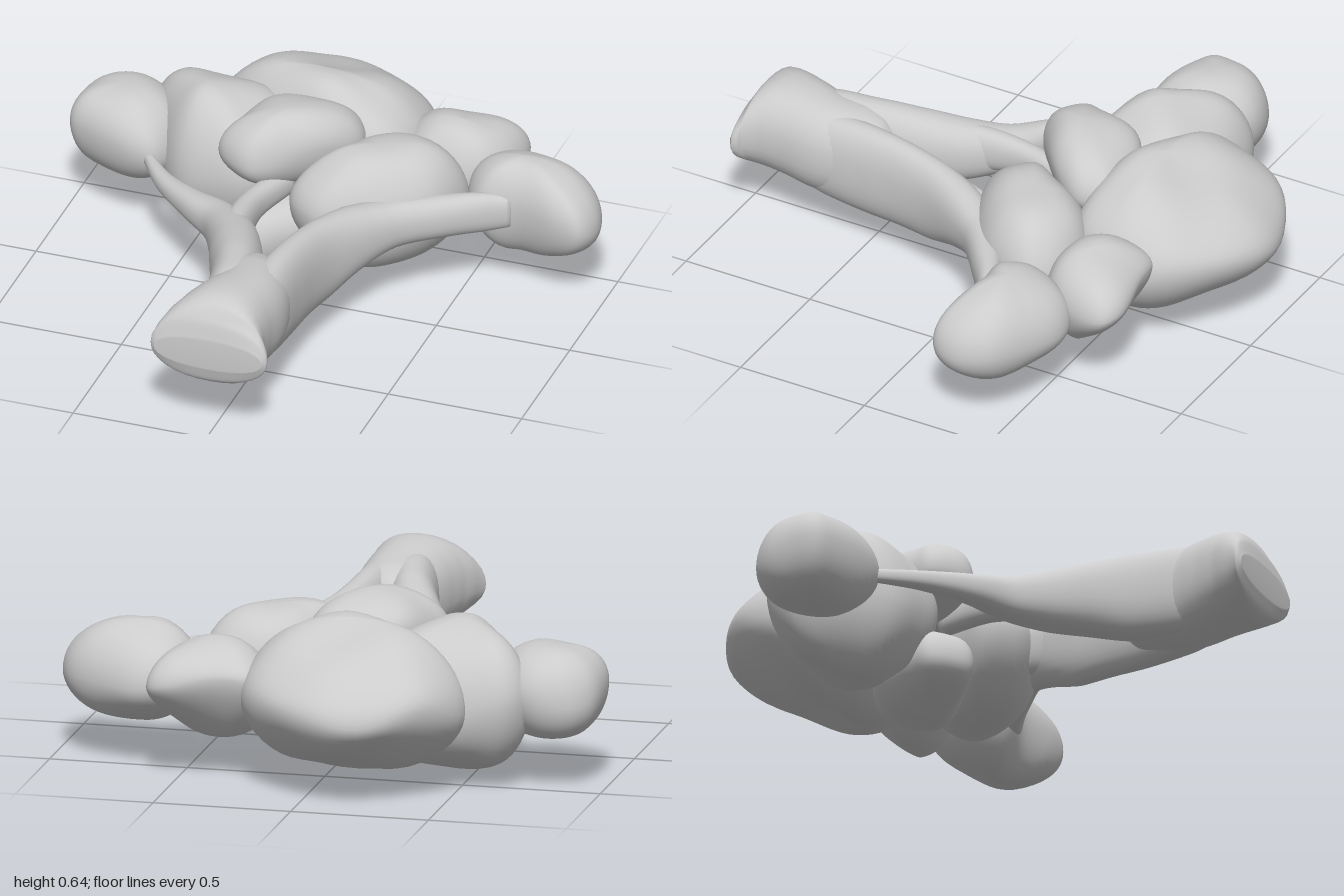
import * as THREE from 'three';

const material = new THREE.MeshStandardMaterial({ color: 0xcccccc });

// Skin a list of closed rings (equal point counts) with smooth normals
function loft(name, rings) {
  const n = rings[0].length, index = [];
  for (let i = 0; i < rings.length - 1; i++) {
    for (let j = 0; j < n; j++) {
      const a = i * n + j, b = i * n + (j + 1) % n, c = a + n, d = b + n;
      index.push(a, b, c, b, d, c);
    }
  }
  const geometry = new THREE.BufferGeometry().setFromPoints(rings.flat());
  geometry.setIndex(index);
  geometry.computeVertexNormals();
  const mesh = new THREE.Mesh(geometry, material);
  mesh.name = name;
  return mesh;
}

// Limb with an oval section; stations are [x, y, z, half width, half height]
function limb(name, stations) {
  const path = new THREE.CatmullRomCurve3(stations.map(s => new THREE.Vector3(s[0], s[1], s[2])));
  const size = new THREE.CatmullRomCurve3(stations.map(s => new THREE.Vector3(s[3], s[4], 0)));
  const up = new THREE.Vector3(0, 1, 0), rings = [], steps = stations.length * 6, sides = 32;
  const soft = v => Math.sign(v) * Math.abs(v) ** 0.88;
  for (let i = 0; i <= steps; i++) {
    const p = path.getPoint(i / steps), r = size.getPoint(i / steps);
    const side = path.getTangent(i / steps).cross(up).normalize();
    rings.push(Array.from({ length: sides }, (_, j) => {
      const a = j / sides * Math.PI * 2;
      return p.clone().addScaledVector(side, r.x * soft(Math.cos(a))).addScaledVector(up, -r.y * soft(Math.sin(a)));
    }));
  }
  // Ends close smoothly onto the centre line
  const tip = t => Array(sides).fill(path.getPoint(t));
  return loft(name, [tip(0), ...rings, tip(1)]);
}

// Leaf clump: a plan outline [x, z] shrinking towards a peak above and below.
// taper thins the whole rim, wedge thins the back, lean raises the back
function clump(name, low, high, peak, outline, seed, { taper = 0.85, wedge = 0, lean = 0 } = {}) {
  const curve = new THREE.CatmullRomCurve3(outline.map(([x, z]) => new THREE.Vector3(x, 0, z)), true);
  const edge = curve.getPoints(56).slice(0, 56), rings = [], rows = 28;
  const mid = (low + high) / 2, half = (high - low) / 2;
  for (let i = 0; i <= rows; i++) {
    const a = Math.PI * (0.5 - i / rows), s = Math.sin(a);
    const shrink = Math.max(0, Math.cos(a)) ** taper;
    const lift = Math.sign(s) * Math.abs(s) ** (taper + 0.1);
    rings.push(edge.map(e => {
      const x = peak[0] + (e.x - peak[0]) * shrink, z = peak[1] + (e.z - peak[1]) * shrink;
      const bump = 1 + 0.06 * Math.sin(14 * x + seed) * Math.cos(13 * z + seed * 2);
      const wave = 0.025 * (1 - Math.abs(s)) * Math.sin(9 * x - 10 * z + seed);
      const back = Math.max(0, peak[1] - z);
      return new THREE.Vector3(x, mid + half * lift * bump * (1 - wedge * back) + wave + lean * back, z);
    }));
  }
  return loft(name, rings);
}

export function createModel() {
  const model = new THREE.Group();
  model.name = 'tree';

  // Trunk and its forked limbs, lying along z
  model.add(
    limb('trunk', [
      [0, 0.345, 0.992, 0.2, 0.055], [0, 0.35, 0.975, 0.218, 0.115], [0, 0.365, 0.94, 0.2, 0.155],
      [0.005, 0.37, 0.88, 0.178, 0.173], [0.015, 0.365, 0.8, 0.163, 0.178], [0.03, 0.35, 0.68, 0.15, 0.178],
      [0.015, 0.345, 0.56, 0.14, 0.165], [0.01, 0.34, 0.48, 0.085, 0.14], [0.01, 0.34, 0.43, 0.02, 0.08]]),
    limb('leftLimb', [
      [0.06, 0.35, 0.88, 0.05, 0.11], [0.08, 0.34, 0.66, 0.085, 0.165], [0.09, 0.33, 0.48, 0.078, 0.175],
      [0.105, 0.325, 0.34, 0.073, 0.17], [0.135, 0.32, 0.2, 0.075, 0.16],
      [0.2, 0.335, 0.05, 0.08, 0.125], [0.3, 0.345, -0.08, 0.07, 0.09], [0.45, 0.345, -0.19, 0.058, 0.08],
      [0.58, 0.345, -0.265, 0.042, 0.075], [0.67, 0.345, -0.3, 0.025, 0.06]]),
    limb('leftTwig', [
      [0.12, 0.33, 0.25, 0.05, 0.13], [0.155, 0.34, 0.05, 0.05, 0.1], [0.18, 0.34, -0.05, 0.045, 0.08],
      [0.25, 0.34, -0.18, 0.04, 0.06]]),
    limb('rightLimb', [
      [-0.02, 0.36, 0.88, 0.06, 0.12], [-0.035, 0.355, 0.66, 0.09, 0.165], [-0.07, 0.35, 0.5, 0.092, 0.16],
      [-0.12, 0.35, 0.36, 0.095, 0.135], [-0.18, 0.345, 0.23, 0.088, 0.11],
      [-0.27, 0.34, 0.115, 0.068, 0.08], [-0.4, 0.34, 0.03, 0.05, 0.055], [-0.55, 0.335, -0.09, 0.033, 0.035],
      [-0.68, 0.335, -0.25, 0.016, 0.022]]),
    limb('rightTwig', [
      [-0.14, 0.36, 0.32, 0.05, 0.1], [-0.185, 0.365, 0.15, 0.05, 0.08], [-0.185, 0.37, 0, 0.042, 0.06],
      [-0.13, 0.37, -0.2, 0.04, 0.05]]));

  // Crown
  const middle = [[-0.37, -0.15], [-0.35, -0.23], [-0.27, -0.4], [-0.13, -0.47], [0.05, -0.46],
    [0.1, -0.36], [0.05, -0.25], [-0.08, -0.13], [-0.22, -0.05], [-0.32, -0.09]];
  model.add(
    clump('rightClump', 0.18, 0.53, [-0.82, -0.4], [[-0.99, -0.4], [-0.97, -0.5], [-0.9, -0.57], [-0.77, -0.59],
      [-0.65, -0.52], [-0.58, -0.36], [-0.63, -0.22], [-0.72, -0.2], [-0.9, -0.25], [-0.98, -0.3]], 1,
      { taper: 0.9 }),
    clump('rightInnerClump', 0.05, 0.59, [-0.49, -0.4], [[-0.75, -0.52], [-0.7, -0.62], [-0.57, -0.66],
      [-0.4, -0.66], [-0.2, -0.58], [-0.12, -0.4], [-0.25, -0.17], [-0.42, -0.16], [-0.55, -0.2],
      [-0.67, -0.35]], 2, { taper: 0.95 }),
    clump('crownClump', 0.07, 0.62, [-0.14, -0.58], [[-0.55, -0.65], [-0.5, -0.8], [-0.38, -0.93], [-0.2, -1],
      [-0.07, -0.99], [0.1, -0.9], [0.24, -0.75], [0.27, -0.57], [0.2, -0.4], [0, -0.36], [-0.2, -0.4],
      [-0.37, -0.46], [-0.5, -0.57]], 3, { taper: 0.88, wedge: 1 }),
    clump('leftInnerClump', 0.15, 0.52, [0.4, -0.57], [[0.2, -0.72], [0.35, -0.75], [0.52, -0.77], [0.59, -0.73],
      [0.59, -0.6], [0.52, -0.47], [0.4, -0.42], [0.22, -0.45], [0.15, -0.6]], 4,
      { taper: 0.95, wedge: 2, lean: 0.25 }),
    clump('leftClump', 0.15, 0.52, [0.69, -0.41], [[0.48, -0.4], [0.55, -0.58], [0.65, -0.61], [0.8, -0.56],
      [0.94, -0.47], [0.985, -0.35], [0.95, -0.25], [0.87, -0.24], [0.7, -0.28], [0.55, -0.28]], 5,
      { taper: 0.9, wedge: 1 }),
    clump('upperMiddleClump', 0.36, 0.64, [-0.15, -0.23], middle, 6, { taper: 0.9 }),
    clump('lowerMiddleClump', 0.01, 0.3, [-0.12, -0.25], middle, 7.5, { taper: 0.9 }),
    clump('frontClump', 0.1, 0.58, [0.21, -0.24], [[-0.08, -0.08], [0, -0.25], [0.1, -0.4], [0.25, -0.47],
      [0.42, -0.45], [0.49, -0.37], [0.45, -0.2], [0.35, -0.08], [0.2, 0], [0.04, 0.02]], 8, { taper: 0.95 }));
  return model;
}
